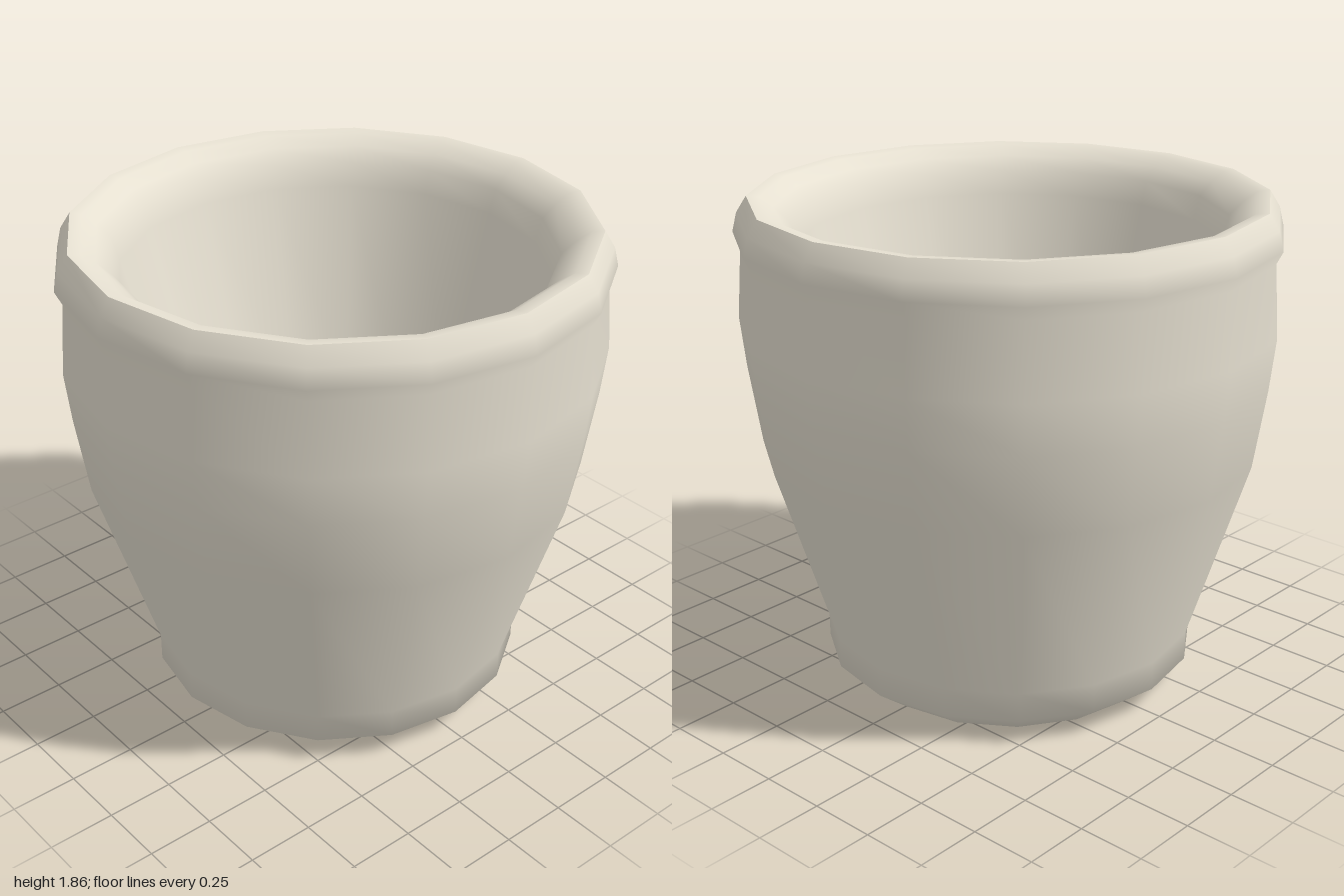
import * as THREE from 'three';

const SIDES = 16;

export function createModel() {
  const group = new THREE.Group();
  group.name = 'plantPot';
  const clay = new THREE.MeshStandardMaterial({ color: 0xe6e0d1 });
  clay.name = 'pale clay';

  // Each part is a band of one continuous profile; bands meet at sharp edges
  const addBand = (name, profile) => {
    const points = profile.map(([r, y]) => new THREE.Vector2(r, y));
    const mesh = new THREE.Mesh(new THREE.LatheGeometry(points, SIDES), clay);
    mesh.name = name;
    group.add(mesh);
  };

  // Flat underside
  addBand('underside', [[0, 0], [0.58, 0]]);

  // Foot, swelling body and rolled lip
  addBand('outerWall', [
    [0.58, 0], [0.71, 0.1], [0.71, 0.21], [0.93, 0.92], [0.975, 1.22],
    [0.995, 1.41], [0.975, 1.68], [1.0, 1.73], [0.983, 1.8], [0.945, 1.86],
  ]);

  // Top of the rim, curling into the opening, and the tapering hollow inside
  addBand('rimAndInnerWall', [
    [0.945, 1.86], [0.9, 1.855], [0.85, 1.82], [0.8, 1.77], [0.775, 1.68],
    [0.57, 0.9],
  ]);

  // Flat inner floor
  addBand('innerFloor', [[0.57, 0.9], [0, 0.9]]);

  return group;
}
